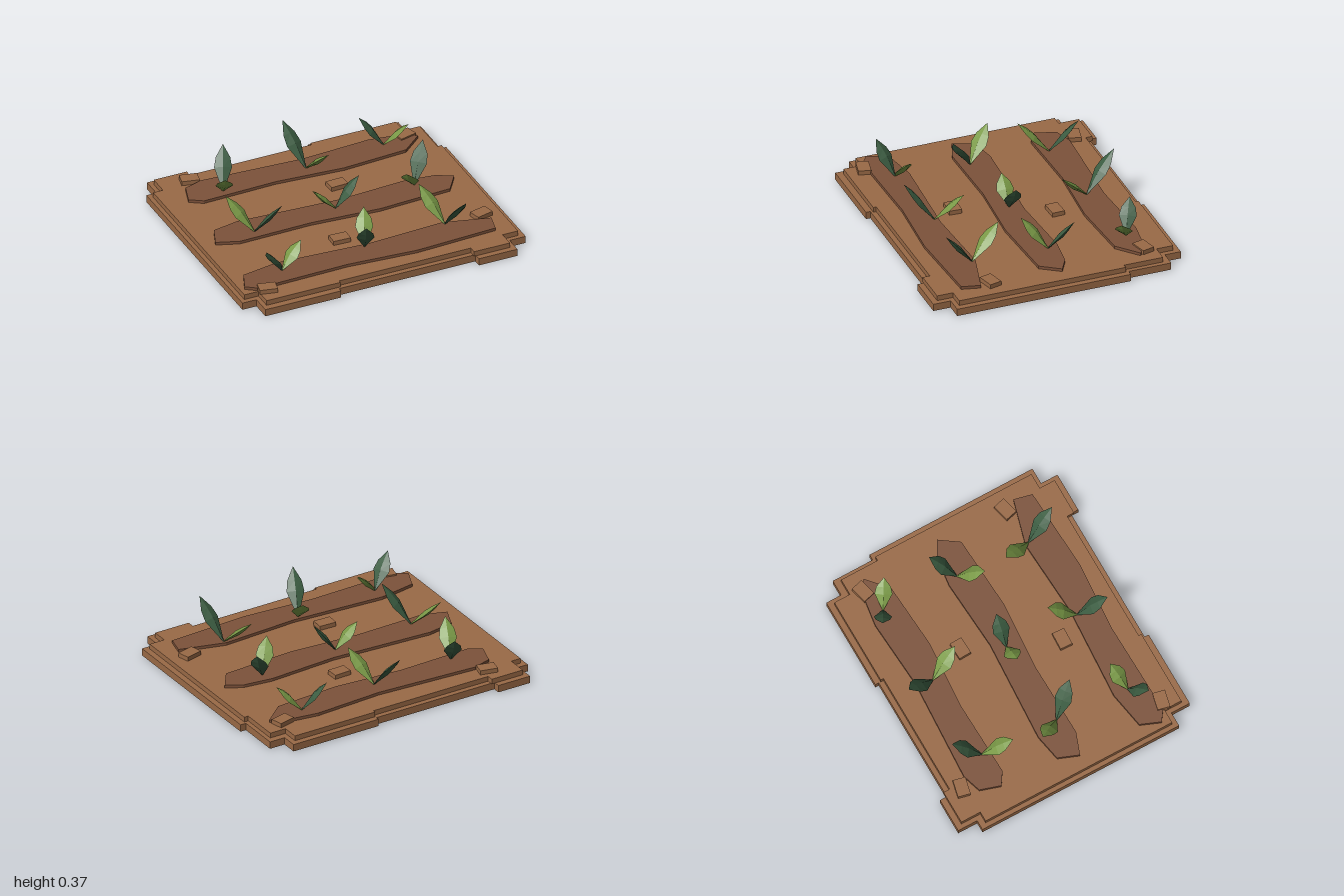
import * as THREE from 'three';

export function createModel() {
  const group = new THREE.Group();
  const mat = (name, color) => {
    const m = new THREE.MeshStandardMaterial({ color, flatShading: true });
    m.name = name;
    return m;
  };
  const earth = mat('earth brown', 0x9a6a46);
  const soil = mat('tilled soil', 0x7d523a);
  const darkGreen = mat('dark leaf green', 0x3b5c41);
  const lightGreen = mat('light leaf green', 0x7a9a47);

  const add = (name, geometry, material, parent = group) => {
    const mesh = new THREE.Mesh(geometry, material);
    mesh.name = name;
    parent.add(mesh);
    return mesh;
  };

  // Flat layer: an outline of [x, z] points raised from y0 to y1
  const layer = (name, points, y0, y1, material) => {
    const shape = new THREE.Shape(points.map(([x, z]) => new THREE.Vector2(x, -z)));
    const g = new THREE.ExtrudeGeometry(shape, { depth: y1 - y0, bevelEnabled: false });
    g.rotateX(-Math.PI / 2).translate(0, y0, 0);
    return add(name, g, material);
  };

  // Stepped outline: each [x, z] pair is one corner, alternating x and z moves
  const steps = (list) => list.flatMap(([x, z], i) => [[x, z], [list[(i + 1) % list.length][0], z]]);

  // Ground slab in two terraces
  layer('lowerGround', steps([
    [-0.93, -0.88], [-0.69, -0.83], [0.205, -0.855], [0.85, -0.745], [0.96, -0.45], [1, 0.755],
    [0.885, 0.875], [0.61, 0.82], [-0.36, 0.85], [-0.9, 0.715], [-1, -0.74],
  ]), 0, 0.05, earth);
  layer('upperGround', steps([
    [-0.9, -0.84], [-0.665, -0.795], [0.205, -0.815], [0.815, -0.7], [0.93, -0.43], [0.96, 0.725],
    [0.85, 0.835], [0.595, 0.785], [-0.345, 0.805], [-0.87, 0.68], [-0.97, -0.7],
  ]), 0.05, 0.085, earth);

  // Three tilled rows
  const rows = [
    [[-0.815, -0.495], [-0.77, -0.635], [-0.64, -0.675], [0.065, -0.635], [0.545, -0.665], [0.75, -0.635],
      [0.86, -0.575], [0.715, -0.45], [0.26, -0.42], [-0.21, -0.455], [-0.73, -0.44]],
    [[-0.88, 0.05], [-0.825, -0.09], [-0.64, -0.125], [0.065, -0.085], [0.55, -0.115], [0.755, -0.09],
      [0.86, -0.03], [0.77, 0.1], [0.26, 0.13], [-0.22, 0.095], [-0.73, 0.105]],
    [[-0.94, 0.62], [-0.885, 0.485], [-0.63, 0.44], [0.015, 0.48], [0.55, 0.45],
      [0.86, 0.535], [0.83, 0.66], [0.26, 0.69], [-0.22, 0.655], [-0.87, 0.67]],
  ];
  rows.forEach((points, i) => layer(`soilRow${i + 1}`, points, 0.085, 0.105, soil));

  // Loose clods: x, z, turn
  [
    [-0.7, -0.725, -0.22], [0.785, -0.62, 0.25], [0.135, -0.265, 0.04],
    [-0.13, 0.34, -0.04], [0.825, 0.455, 0.25], [-0.81, 0.69, -0.22],
  ].forEach(([x, z, turn], i) => {
    const clod = add(`clod${i + 1}`, new THREE.BoxGeometry(0.12, 0.03, 0.085), earth);
    clod.position.set(x, 0.1, z);
    clod.rotation.y = turn;
  });

  // Faceted leaf with diamond cross-sections from base to tip
  const leafGeometry = (base, tip) => {
    const axis = tip.clone().sub(base);
    const side = axis.clone().cross(new THREE.Vector3(0, 1, 0)).normalize();
    const inner = side.clone().cross(axis).normalize();
    const rings = [[0, 0.004, 0.003], [0.5, 0.058, 0.018], [0.72, 0.047, 0.013], [1, 0, 0]].map(([t, w, d]) => {
      const c = base.clone().addScaledVector(axis, t);
      return [[inner, d], [side, w], [inner, -d], [side, -w]].map(([v, s]) => c.clone().addScaledVector(v, s));
    });
    const pts = [];
    for (let r = 0; r < 3; r++) {
      for (let i = 0; i < 4; i++) {
        const j = (i + 1) % 4;
        const [p, q] = [rings[r], rings[r + 1]];
        pts.push(p[i], p[j], q[j]);
        if (r < 2) pts.push(p[i], q[j], q[i]);
      }
    }
    const g = new THREE.BufferGeometry().setFromPoints(pts);
    g.computeVertexNormals();
    return g;
  };

  // Seedlings: base x, z, then dark tip and light tip as x, y, z
  const plants = [
    [-0.565, -0.5, [-0.485, 0.34, -0.675], [-0.64, 0.31, -0.31]],
    [0.035, -0.525, [-0.03, 0.365, -0.74], [0.105, 0.3, -0.32]],
    [0.61, -0.57, [0.47, 0.3, -0.65], [0.75, 0.27, -0.485]],
    [-0.595, 0.035, [-0.475, 0.36, 0.2], [-0.72, 0.31, -0.135]],
    [0, 0, [0.16, 0.32, 0.015], [-0.16, 0.27, -0.01]],
    [0.58, -0.04, [0.705, 0.34, -0.175], [0.46, 0.295, 0.1]],
    [-0.635, 0.54, [-0.78, 0.32, 0.615], [-0.48, 0.27, 0.495]],
    [-0.03, 0.505, [-0.105, 0.365, 0.69], [0.045, 0.29, 0.33]],
    [0.555, 0.475, [0.61, 0.36, 0.68], [0.47, 0.31, 0.26]],
  ];
  plants.forEach(([x, z, dark, light], i) => {
    const plant = new THREE.Group();
    plant.name = `seedling${i + 1}`;
    const base = new THREE.Vector3(x, 0.104, z);
    add('darkLeaf', leafGeometry(base, new THREE.Vector3(...dark)), darkGreen, plant);
    add('lightLeaf', leafGeometry(base, new THREE.Vector3(...light)), lightGreen, plant);
    group.add(plant);
  });

  return group;
}
